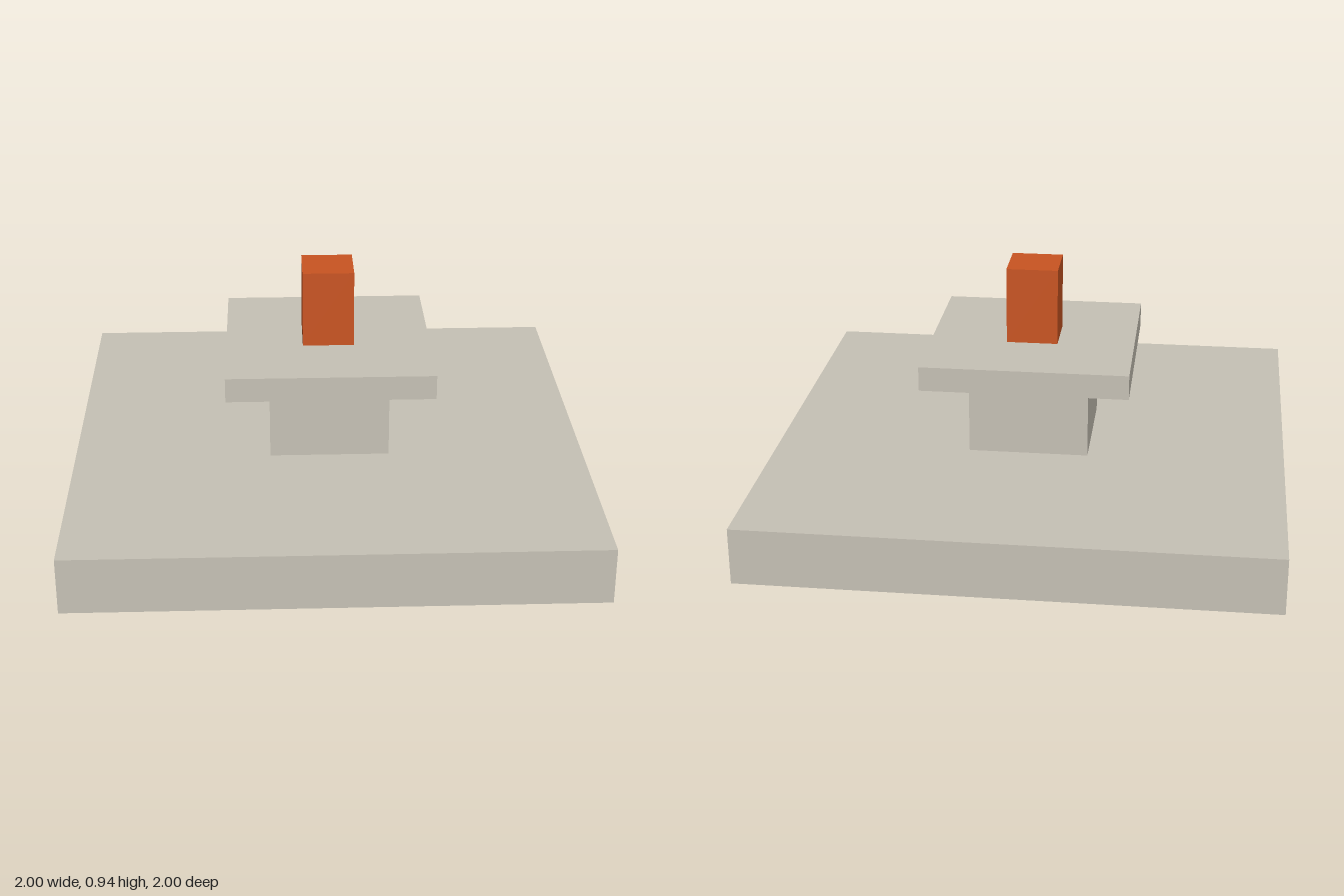
import * as THREE from 'three';

const stone = new THREE.MeshStandardMaterial({ color: 0xc7c2b6 });
stone.name = 'stone';
const orange = new THREE.MeshStandardMaterial({ color: 0xca5522 });
orange.name = 'orange';

// Square block of a given width spanning bottom to top
function block(name, width, bottom, top, material) {
  const mesh = new THREE.Mesh(new THREE.BoxGeometry(width, top - bottom, width), material);
  mesh.position.y = (bottom + top) / 2;
  mesh.name = name;
  return mesh;
}

export function createModel() {
  const group = new THREE.Group();
  group.name = 'pedestal';
  group.add(
    block('base', 2, 0, 0.22, stone),
    block('column', 0.467, 0.22, 0.537, stone),
    block('capSlab', 0.8, 0.537, 0.633, stone),
    block('topPost', 0.2, 0.633, 0.935, orange),
  );
  return group;
}
